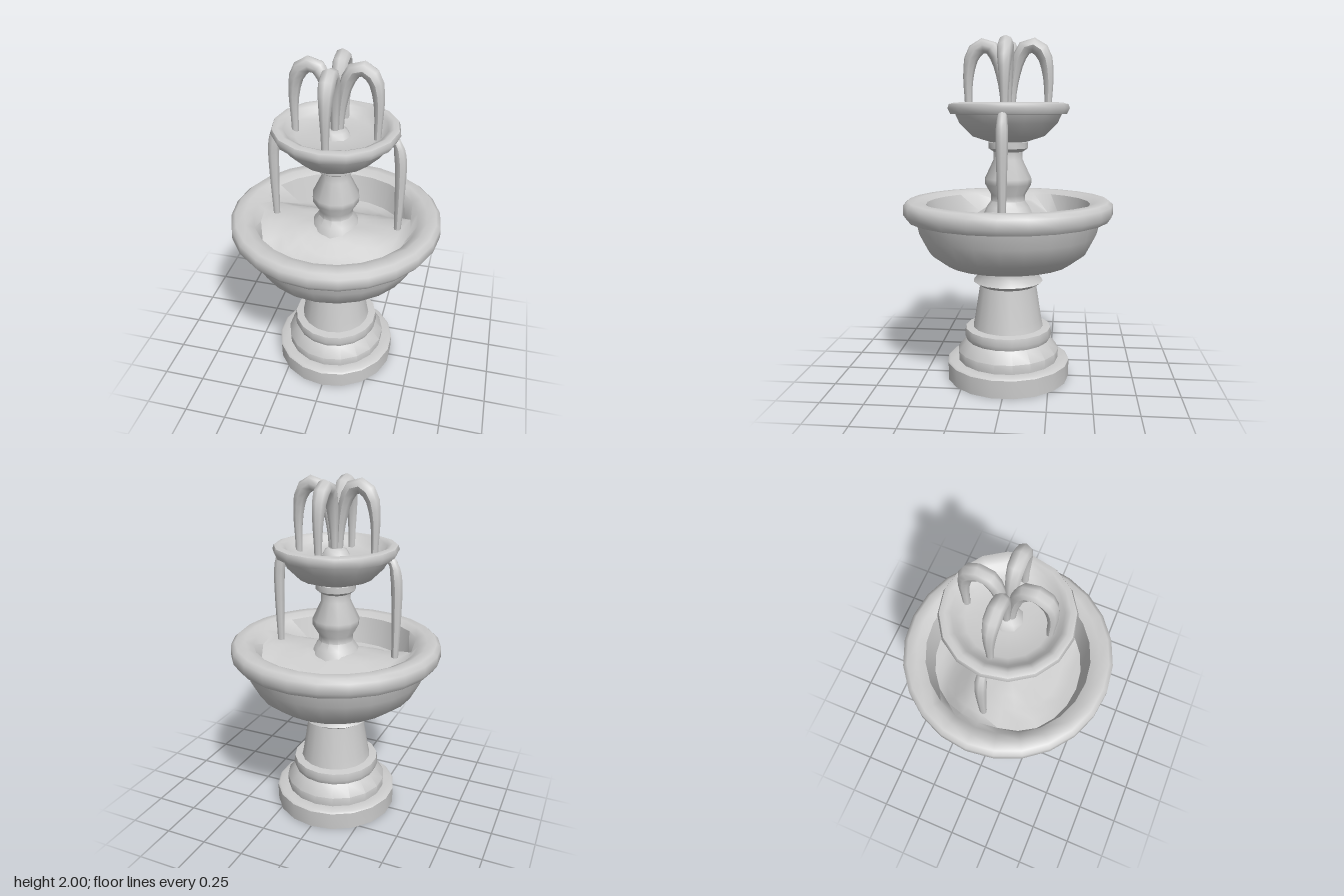
import * as THREE from 'three';
import { toCreasedNormals } from 'three/addons/utils/BufferGeometryUtils.js';

const stone = new THREE.MeshStandardMaterial({ color: 0xcccccc });
stone.name = 'pale grey stone';

// Turned part from [radius, height] pairs, listed so that the outside faces out
function turned(name, profile, sides, crease = 0.75, bend = null) {
  const points = profile.map(([r, y]) => new THREE.Vector2(r, y));
  const lathe = new THREE.LatheGeometry(points, sides);
  if (bend) bend(lathe.attributes.position);
  const mesh = new THREE.Mesh(toCreasedNormals(lathe, crease), stone);
  mesh.name = name;
  return mesh;
}

// Sink the basin floor in front of and behind a raised strip along x
function sinkFloor(pos) {
  for (let i = 0; i < pos.count; i++) {
    const x = pos.getX(i), y = pos.getY(i), z = pos.getZ(i);
    if (y < 0.99 || y > 1.04 || Math.hypot(x, z) > 0.46) continue;
    pos.setY(i, y - 0.13 * THREE.MathUtils.clamp((Math.abs(z) - 0.1) / 0.2, 0, 1));
  }
}

// Water jet: a tube along [x, y] points whose radius varies from point to point
function jet(name, path, radii, angle) {
  const steps = 16, sides = 8;
  const curve = new THREE.CatmullRomCurve3(path.map(([x, y]) => new THREE.Vector3(x, y, 0)));
  const geometry = new THREE.TubeGeometry(curve, steps, 1, sides);
  const pos = geometry.attributes.position, normal = geometry.attributes.normal;
  const v = new THREE.Vector3();
  for (let i = 0; i < pos.count; i++) {
    const t = Math.floor(i / (sides + 1)) / steps;
    const k = t * (radii.length - 1), a = Math.min(Math.floor(k), radii.length - 2);
    const radius = THREE.MathUtils.lerp(radii[a], radii[a + 1], k - a);
    v.fromBufferAttribute(normal, i).multiplyScalar(radius).add(curve.getPointAt(t));
    pos.setXYZ(i, v.x, v.y, v.z);
  }
  geometry.computeVertexNormals();
  const mesh = new THREE.Mesh(geometry, stone);
  mesh.name = name;
  mesh.rotation.y = angle;
  return mesh;
}

export function createModel() {
  const fountain = new THREE.Group();
  fountain.name = 'fountain';

  fountain.add(
    // Hollow foot, stepped plinth and flared stem
    turned('pedestal', [
      [0, 0.24], [0.2, 0.235], [0.28, 0.16], [0.325, 0.08], [0.34, 0], [0.365, 0],
      [0.367, 0.105], [0.355, 0.115], [0.3, 0.115], [0.303, 0.17], [0.25, 0.235],
      [0.262, 0.265], [0.255, 0.305], [0.21, 0.312], [0.2, 0.36], [0.168, 0.565],
      [0.207, 0.59], [0.18, 0.625], [0.18, 0.66],
    ], 18),
    // Large basin with rolled rim and sunken floor
    turned('lowerBasin', [
      [0, 0.65], [0.16, 0.655], [0.37, 0.705], [0.465, 0.775], [0.52, 0.88], [0.54, 0.965],
      [0.59, 0.968], [0.612, 1.0], [0.61, 1.055], [0.585, 1.076], [0.53, 1.078],
      [0.48, 1.055], [0.44, 1.02], [0.39, 1.015], [0.32, 1.015], [0.24, 1.015],
      [0.17, 1.015], [0.1, 1.015], [0, 1.015],
    ], 24, 0.9, sinkFloor),
    // Baluster between the basins
    turned('column', [
      [0.15, 0.98], [0.125, 1.035], [0.1, 1.07], [0.1, 1.105], [0.135, 1.165], [0.137, 1.2],
      [0.085, 1.31], [0.085, 1.355], [0.115, 1.375], [0.115, 1.41], [0.09, 1.42],
    ], 12),
    // Small basin with rolled rim
    turned('upperBasin', [
      [0, 1.405], [0.1, 1.41], [0.21, 1.445], [0.285, 1.52], [0.308, 1.57],
      [0.338, 1.572], [0.354, 1.605], [0.345, 1.628], [0.315, 1.636], [0.285, 1.622],
      [0.265, 1.59], [0.22, 1.57], [0.09, 1.57], [0, 1.57],
    ], 16, 0.9),
    // Nozzle in the middle of the small basin
    turned('nozzle', [[0.085, 1.565], [0.065, 1.6], [0.045, 1.612], [0, 1.612]], 8),
  );

  // Four arching jets at the top
  for (let i = 0; i < 4; i++) {
    fountain.add(jet('archingJet',
      [[0.02, 1.58], [0.032, 1.75], [0.06, 1.88], [0.1, 1.945], [0.15, 1.953], [0.2, 1.91], [0.227, 1.8], [0.228, 1.56]],
      [0.02, 0.024, 0.034, 0.042, 0.044, 0.032, 0.023, 0.02], i * Math.PI / 2));
  }

  // Two streams spilling from the small basin
  for (const angle of [0, Math.PI]) {
    fountain.add(jet('spillingStream',
      [[0.3, 1.58], [0.335, 1.56], [0.358, 1.47], [0.365, 1.3], [0.364, 1.0]],
      [0.022, 0.034, 0.032, 0.028, 0.024, 0.02], angle));
  }
  return fountain;
}
